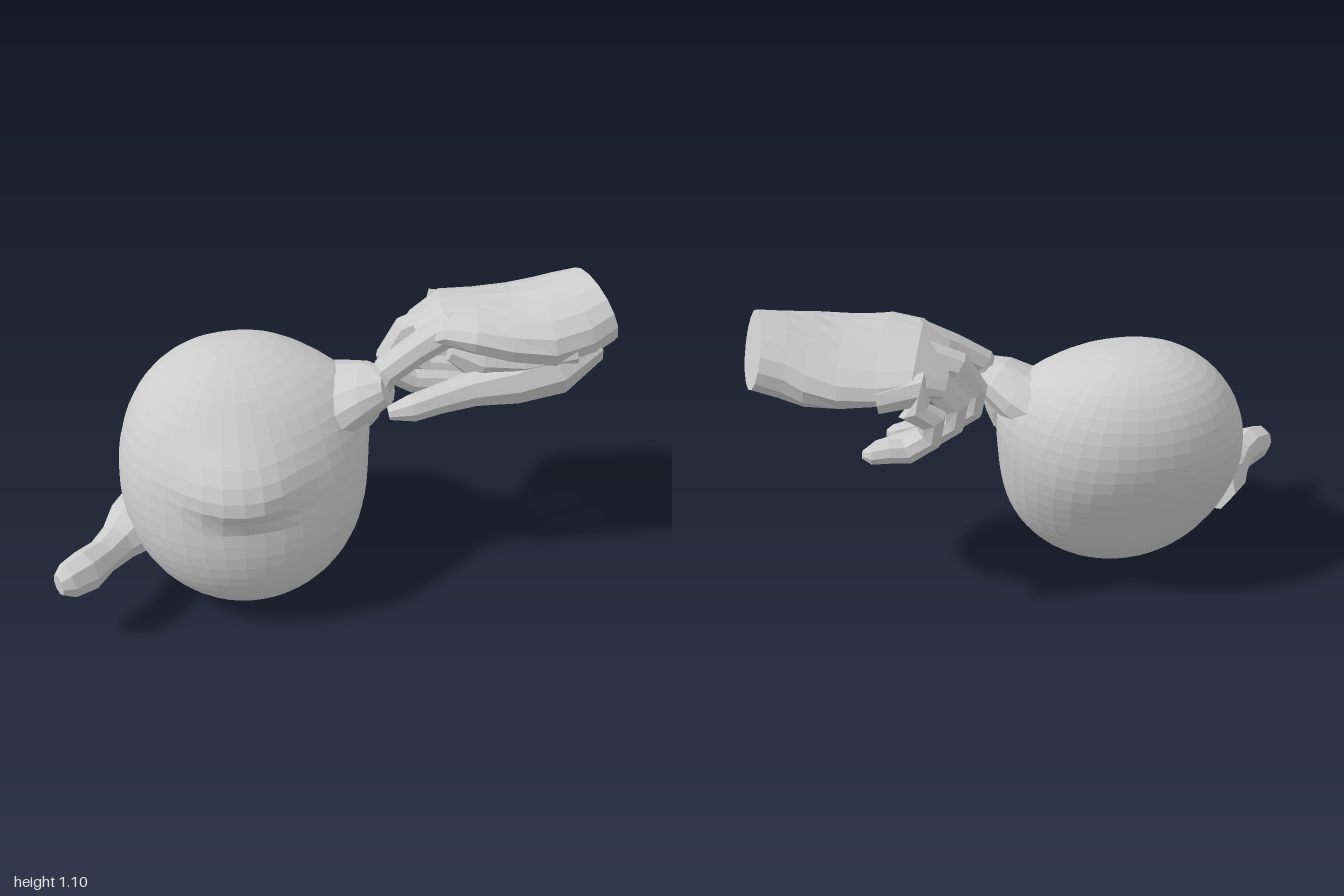
import * as THREE from 'three';

const material = new THREE.MeshStandardMaterial({ color: 0xcccccc, flatShading: true });

function addMesh(parent, name, geometry) {
  const mesh = new THREE.Mesh(geometry, material);
  mesh.name = name;
  parent.add(mesh);
}

// Closed skin over elliptical rings: [x, y, z, half thickness, half width, roll]
function loft(rings, sides = 10) {
  const pts = rings.map(r => new THREE.Vector3(r[0], r[1], r[2]));
  const pos = [], index = [], n = rings.length;
  rings.forEach((ring, i) => {
    const t = pts[Math.min(i + 1, n - 1)].clone().sub(pts[Math.max(i - 1, 0)]).normalize();
    const side = new THREE.Vector3(0, 0, 1).addScaledVector(t, -t.z).normalize();
    side.applyAxisAngle(t, ring[5] || 0);
    const up = t.clone().cross(side);
    for (let k = 0; k < sides; k++) {
      const a = k / sides * Math.PI * 2;
      const p = pts[i].clone().addScaledVector(side, Math.cos(a) * ring[4]).addScaledVector(up, Math.sin(a) * ring[3]);
      pos.push(p.x, p.y, p.z);
      if (i < n - 1) {
        const b = i * sides + k, c = i * sides + (k + 1) % sides;
        index.push(b, c, c + sides, b, c + sides, b + sides);
      }
    }
  });
  // End caps
  const first = n * sides;
  for (const p of [pts[0], pts[n - 1]]) pos.push(p.x, p.y, p.z);
  for (let k = 0; k < sides; k++) {
    const k2 = (k + 1) % sides, e = (n - 1) * sides;
    index.push(first, k2, k, first + 1, e + k, e + k2);
  }
  const g = new THREE.BufferGeometry();
  g.setAttribute('position', new THREE.Float32BufferAttribute(pos, 3));
  g.setIndex(index);
  g.computeVertexNormals();
  return g;
}

// Round body leaning back at the top, with a blunt swelling in front and a corner pulled to the hand
function bodyGeometry() {
  const g = new THREE.SphereGeometry(1, 40, 30), p = g.attributes.position;
  const v = new THREE.Vector3(), pull = new THREE.Vector3(0.04, 0.69, 0);
  for (let i = 0; i < p.count; i++) {
    v.fromBufferAttribute(p, i);
    const N = 2.1 + 0.1 * v.y; // fuller towards the top
    v.multiplyScalar((Math.abs(v.x) ** N + Math.abs(v.y) ** N + Math.abs(v.z) ** N) ** (-1 / N));
    const pz = v.z;
    v.set(-0.295 + v.x * 0.44, 0.455 + v.y * 0.455, pz * 0.385);
    v.z -= 0.2 * (v.y - 0.455);
    if (pz > 0) {
      const dx = (v.x + 0.36) / 0.19, dy = (v.y - 0.6) / (v.y > 0.6 ? 0.13 : 0.1);
      v.z += 0.065 * Math.exp(-((dx * dx + dy * dy) ** 1.6));
    } else {
      v.z -= 0.045 * pz * Math.exp(-(((v.y - 0.28) / 0.2) ** 2));
    }
    const w = Math.exp(-v.distanceToSquared(pull) / 0.03);
    p.setXYZ(i, v.x + 0.065 * w, v.y + 0.02 * w, v.z);
  }
  g.computeVertexNormals();
  return g;
}

export function createModel() {
  const model = new THREE.Group();
  addMesh(model, 'body', bodyGeometry());

  // Short limb on the low side
  addMesh(model, 'limb', loft([
    [-0.62, 0.31, -0.02, 0.12, 0.14], [-0.71, 0.295, 0.045, 0.1, 0.11], [-0.77, 0.28, 0.105, 0.073, 0.075],
    [-0.83, 0.28, 0.17, 0.066, 0.06], [-0.89, 0.28, 0.23, 0.08, 0.067],
    [-0.955, 0.275, 0.265, 0.068, 0.057], [-0.987, 0.275, 0.28, 0.04, 0.035]], 8));

  // Skin pulled out towards the fingertips
  addMesh(model, 'pinchedSkin', loft([
    [-0.1, 0.63, -0.03, 0.16, 0.23], [-0.01, 0.68, 0.0, 0.125, 0.2], [0.08, 0.725, 0.04, 0.1, 0.16],
    [0.14, 0.765, 0.075, 0.085, 0.12], [0.2, 0.79, 0.11, 0.06, 0.065]], 12));

  const hand = new THREE.Group();
  hand.name = 'hand';
  model.add(hand);

  // Wrist and palm, flattening towards the knuckles
  addMesh(hand, 'palm', loft([
    [0.965, 0.98, 0.04, 0.124, 0.178], [0.88, 0.955, 0.045, 0.13, 0.21], [0.78, 0.93, 0.04, 0.132, 0.24, 0.05],
    [0.66, 0.925, 0.005, 0.112, 0.25, 0.1], [0.54, 0.935, -0.025, 0.092, 0.245, 0.15],
    [0.44, 0.94, -0.06, 0.075, 0.215, 0.2], [0.35, 0.9, -0.07, 0.045, 0.165, 0.25]], 16));

  addMesh(hand, 'thumb', loft([
    [0.9, 0.9, 0.14, 0.08, 0.1], [0.76, 0.835, 0.18, 0.105, 0.105], [0.62, 0.8, 0.185, 0.085, 0.08],
    [0.48, 0.785, 0.18, 0.066, 0.058], [0.36, 0.755, 0.175, 0.055, 0.046],
    [0.27, 0.73, 0.17, 0.05, 0.045], [0.19, 0.715, 0.16, 0.024, 0.025]], 8));

  // Web of skin between thumb and forefinger
  addMesh(hand, 'thumbWeb', loft([
    [0.82, 0.91, 0.14, 0.12, 0.13], [0.65, 0.88, 0.14, 0.125, 0.105], [0.52, 0.88, 0.13, 0.1, 0.075],
    [0.42, 0.91, 0.105, 0.045, 0.04]], 8));

  addMesh(hand, 'indexFinger', loft([
    [0.54, 0.955, 0.06, 0.065, 0.065], [0.42, 0.965, 0.065, 0.062, 0.062], [0.3, 0.9, 0.075, 0.054, 0.054],
    [0.2, 0.835, 0.08, 0.052, 0.054], [0.165, 0.75, 0.07, 0.048, 0.054],
    [0.15, 0.66, 0.05, 0.04, 0.046], [0.15, 0.6, 0.035, 0.018, 0.02]], 8));

  // Curled fingers: [name, z at knuckle, z at tip, bend x, knuckle y, tip x, tip y]
  for (const [name, z0, z1, bx, ky, tx, ty] of [
    ['middleFinger', -0.045, -0.06, 0.22, 0.945, 0.53, 0.66],
    ['ringFinger', -0.135, -0.15, 0.3, 0.925, 0.6, 0.655],
    ['littleFinger', -0.22, -0.235, 0.39, 0.89, 0.63, 0.685]]) {
    const zm = (z0 + z1) / 2 - 0.015;
    addMesh(hand, name, loft([
      [0.6, ky - 0.01, z0, 0.05, 0.045], [0.46, ky + 0.01, z0, 0.065, 0.058], [bx + 0.09, ky - 0.05, zm, 0.056, 0.055],
      [bx + 0.035, 0.8, zm, 0.052, 0.052], [bx + 0.045, 0.735, zm, 0.046, 0.048], [bx + 0.12, 0.69, z1, 0.044, 0.045],
      [tx - 0.06, ty + 0.01, z1, 0.04, 0.042], [tx, ty + 0.005, z1, 0.032, 0.034], [tx + 0.025, ty + 0.01, z1, 0.014, 0.014]], 8));
  }
  return model;
}
